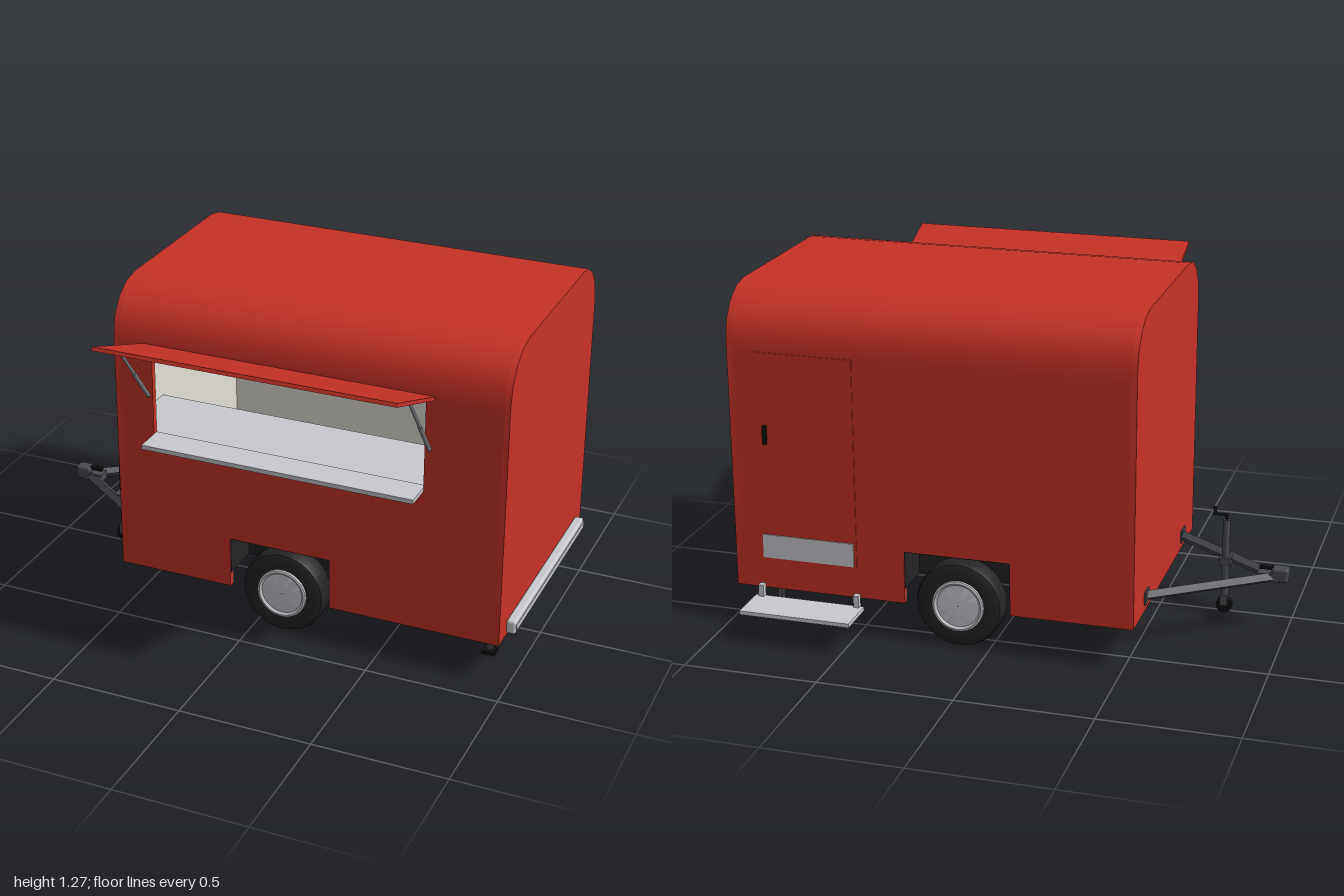
import * as THREE from 'three';
import { toCreasedNormals } from 'three/addons/utils/BufferGeometryUtils.js';
import { RoundedBoxGeometry } from 'three/addons/geometries/RoundedBoxGeometry.js';

const mat = (name, color) => {
  const m = new THREE.MeshStandardMaterial({ color });
  m.name = name;
  return m;
};

export function createModel() {
  const model = new THREE.Group();
  model.name = 'foodTrailer';
  const red = mat('red paint', 0xc83226);
  const cream = mat('cream lining', 0xe4e2d6);
  const light = mat('light metal', 0xc8cacf);
  const grey = mat('grey metal', 0x85878c);
  const steel = mat('dark steel', 0x4a4b52);
  const rubber = mat('rubber', 0x242424);
  const black = mat('black', 0x121212);

  const add = (name, geo, material, parent = model) => {
    const m = new THREE.Mesh(geo, material);
    m.name = name;
    parent.add(m);
    return m;
  };
  // box given by its minimum and maximum on each axis
  const box = (name, material, x0, x1, y0, y1, z0, z1) => {
    const m = add(name, new THREE.BoxGeometry(x1 - x0, y1 - y0, z1 - z0), material);
    m.position.set((x0 + x1) / 2, (y0 + y1) / 2, (z0 + z1) / 2);
    return m;
  };
  // round rod, or square bar when sides = 4, between two points
  const rod = (name, material, a, b, r, sides = 12) => {
    const p = new THREE.Vector3(...a), q = new THREE.Vector3(...b);
    const geo = new THREE.CylinderGeometry(r, r, p.distanceTo(q), sides);
    if (sides === 4) geo.rotateY(Math.PI / 4);
    const m = add(name, sides === 4 ? toCreasedNormals(geo, 0.5) : geo, material);
    m.position.copy(p).add(q).multiplyScalar(0.5);
    m.quaternion.setFromUnitVectors(new THREE.Vector3(0, 1, 0), q.sub(p).normalize());
    return m;
  };

  // ---- body shell ----
  const X0 = -0.535, X1 = 0.96, Y0 = 0.155, TOP = 1.275;
  const ZF = 0.39, ZB = -0.605, ZC = (ZF + ZB) / 2, HALF = (ZF - ZB) / 2;
  const T = 0.02, L = 0.004, SHOULDER = 1.06;

  // rounded roof outline, inset by t, from one shoulder to the other
  const outline = (t, yLow) => {
    const r = 0.18 - t, cx = HALF - 0.18, cy = TOP - 0.18;
    const pts = [new THREE.Vector2(HALF - t, yLow)];
    for (let i = 0; i <= 9; i++) {
      const a = ((i < 5 ? i : i - 1) * Math.PI) / 8;
      const s = i < 5 ? 1 : -1;
      pts.push(new THREE.Vector2(s * cx + r * Math.cos(a), cy + r * Math.sin(a)));
    }
    pts.push(new THREE.Vector2(-HALF + t, yLow));
    return pts;
  };
  const alongX = (name, material, pts, x0, x1) => {
    let geo = new THREE.ExtrudeGeometry(new THREE.Shape(pts), { depth: x1 - x0, bevelEnabled: false });
    geo = toCreasedNormals(geo.rotateY(Math.PI / 2), 0.6);
    add(name, geo, material).position.set(x0, 0, ZC);
  };
  const band = (t0, t1) => [...outline(t0, SHOULDER), ...outline(t1, SHOULDER).reverse()];
  alongX('roof', red, band(0, T), X0 + T, X1 - T);
  alongX('roofLining', cream, band(T, T + L), X0 + T, X1 - T);
  alongX('leftEndWall', red, outline(0, Y0), X1 - T, X1);
  alongX('rightEndWall', red, outline(0, Y0), X0, X0 + T);
  alongX('leftEndLining', cream, outline(T, Y0), X1 - T - L, X1 - T);
  alongX('rightEndLining', cream, outline(T, Y0), X0 + T, X0 + T + L);

  // side walls with wheel notch, and serving opening in the front one
  const AX0 = -0.085, AX1 = 0.31, AY = 0.355;
  const WX0 = -0.385, WX1 = 0.66, WY0 = 0.715, WY1 = 1.055;
  const wall = (name, material, z, depth, opening) => {
    const v = (x, y) => new THREE.Vector2(x, y);
    const s = new THREE.Shape([v(X0 + T, Y0), v(AX0, Y0), v(AX0, AY), v(AX1, AY), v(AX1, Y0),
      v(X1 - T, Y0), v(X1 - T, SHOULDER), v(X0 + T, SHOULDER)]);
    if (opening) s.holes.push(new THREE.Path([v(WX0, WY0), v(WX0, WY1), v(WX1, WY1), v(WX1, WY0)]));
    add(name, new THREE.ExtrudeGeometry(s, { depth, bevelEnabled: false }), material).position.z = z;
  };
  wall('frontWall', red, ZF - T, T, true);
  wall('frontLining', cream, ZF - T - L, L, true);
  wall('backWall', red, ZB, T, false);
  wall('backLining', cream, ZB + T, L, false);

  // floor, narrowed between the wheel housings
  const FZ0 = ZB + T + L, FZ1 = ZF - T - L;
  box('floorRight', black, X0 + T + L, AX0, 0.21, 0.225, FZ0, FZ1);
  box('floorLeft', black, AX1, X1 - T - L, 0.21, 0.225, FZ0, FZ1);
  box('floorMiddle', black, AX0, AX1, 0.21, 0.225, FZ0 + 0.14, FZ1 - 0.14);

  // ---- wheels and housings ----
  const tyre = [[0.09, -0.045], [0.14, -0.048], [0.155, -0.042], [0.16, -0.03], [0.16, 0.03],
    [0.155, 0.042], [0.14, 0.048], [0.095, 0.045]].map(p => new THREE.Vector2(...p));
  const hub = [[0.096, 0.04], [0.096, 0.055], [0.088, 0.057], [0.08, 0.05], [0.001, 0.052]]
    .map(p => new THREE.Vector2(...p));
  for (const s of [1, -1]) {
    const wheel = new THREE.Group();
    wheel.name = s > 0 ? 'frontWheel' : 'backWheel';
    wheel.position.set(0.115, 0.16, ZC + s * 0.43);
    wheel.rotation.y = s > 0 ? 0 : Math.PI;
    model.add(wheel);
    add('tyre', toCreasedNormals(new THREE.LatheGeometry(tyre, 40).rotateX(Math.PI / 2), 0.7), rubber, wheel);
    add('hub', toCreasedNormals(new THREE.LatheGeometry(hub, 40).rotateX(Math.PI / 2), 0.5), light, wheel);
    add('innerDisc', new THREE.CylinderGeometry(0.1, 0.1, 0.08, 32).rotateX(Math.PI / 2), rubber, wheel);

    const zr = (a, b) => [ZC + s * a, ZC + s * b].sort((p, q) => p - q);
    const span = zr(0.335, HALF - 0.003);
    box('housingBack', rubber, AX0, AX1, 0.21, AY, ...zr(0.33, 0.338));
    box('housingTop', rubber, AX0, AX1, AY - 0.004, AY + 0.006, ...span);
    box('housingSide', rubber, AX0 - 0.006, AX0 + 0.002, 0.21, AY, ...span);
    box('housingSide', rubber, AX1 - 0.002, AX1 + 0.006, 0.21, AY, ...span);
  }
  rod('axle', black, [0.115, 0.16, ZC - 0.4], [0.115, 0.16, ZC + 0.4], 0.015);

  // ---- serving hatch ----
  box('servingShelf', light, WX0, WX1, 0.708, 0.725, ZF - T, 0.49);
  box('counter', light, X0 + T + L, X1 - T - L, 0.7, 0.72, 0.07, ZF - T - L);
  const awning = box('awning', red, -0.415, 0.695, -0.007, 0.007, -0.194, 0.194);
  awning.position.set(0.14, 1.144, 0.582);
  awning.rotation.x = -Math.atan2(0.135, 0.365);
  rod('awningHinge', grey, [-0.41, 1.075, 0.395], [0.69, 1.075, 0.395], 0.006);
  for (const x of [-0.4, 0.68]) {
    rod('awningStrut', grey, [x, 0.88, 0.396], [x, 1.145, 0.605], 0.006);
    rod('strutSleeve', grey, [x, 0.88, 0.396], [x, 1.01, 0.499], 0.008);
  }

  // ---- back door and step ----
  box('door', red, 0.49, 0.86, 0.26, 1.055, ZB - 0.003, ZB + T + 0.008);
  box('kickPlate', light, 0.5, 0.85, 0.275, 0.365, ZB - 0.007, ZB - 0.002);
  box('doorHandle', black, 0.818, 0.832, 0.715, 0.785, ZB - 0.016, ZB - 0.002);
  box('step', light, 0.465, 0.885, 0.11, 0.125, -0.77, -0.612);
  for (const x of [0.49, 0.86]) {
    box('stepBracket', light, x - 0.01, x + 0.01, 0.12, 0.17, -0.628, ZB);
  }

  // ---- rear bumper and stabiliser legs ----
  add('bumper', new RoundedBoxGeometry(0.036, 0.054, 0.845, 3, 0.01), light).position.set(0.978, 0.193, ZC);
  box('bumperRail', light, 0.99, 0.999, 0.182, 0.204, ZC - 0.415, ZC + 0.415);
  for (const z of [0.2, -0.42]) {
    box('stabiliserLeg', steel, 0.86, 0.88, 0.01, 0.21, z - 0.01, z + 0.01);
    box('stabiliserFoot', black, 0.845, 0.895, 0, 0.012, z - 0.025, z + 0.025);
  }

  // ---- drawbar, coupler and jockey wheel ----
  for (const s of [1, -1]) {
    rod('drawbar', steel, [-0.525, 0.205, ZC + s * 0.305], [-0.94, 0.205, ZC + s * 0.008], 0.02, 4);
    box('drawbarMount', steel, -0.541, -0.53, 0.18, 0.23, ZC + s * 0.305 - 0.03, ZC + s * 0.305 + 0.03);
  }
  box('coupler', steel, -0.965, -0.885, 0.19, 0.222, ZC - 0.025, ZC + 0.025);
  add('couplerHead', new RoundedBoxGeometry(0.065, 0.055, 0.05, 3, 0.012), steel).position.set(-0.967, 0.217, ZC);
  box('couplerLever', black, -0.95, -0.89, 0.232, 0.244, ZC - 0.01, ZC + 0.01);

  const JX = -0.745, JZ = -0.012;
  rod('jockeyPost', steel, [JX, 0.06, JZ], [JX, 0.37, JZ], 0.014, 16);
  box('jockeyFork', steel, JX - 0.014, JX + 0.014, 0.03, 0.07, JZ - 0.019, JZ + 0.019);
  rod('jockeyWheel', black, [JX, 0.03, JZ - 0.013], [JX, 0.03, JZ + 0.013], 0.03, 24);
  box('jockeyClamp', steel, JX - 0.02, JX + 0.02, 0.19, 0.22, JZ - 0.015, 0.03);
  rod('crankStem', black, [JX, 0.37, JZ], [JX, 0.39, JZ], 0.006);
  rod('crankArm', black, [JX - 0.005, 0.388, JZ], [JX + 0.045, 0.388, JZ], 0.005);
  rod('crankHandle', black, [JX + 0.045, 0.385, JZ], [JX + 0.045, 0.415, JZ], 0.007);

  return model;
}
